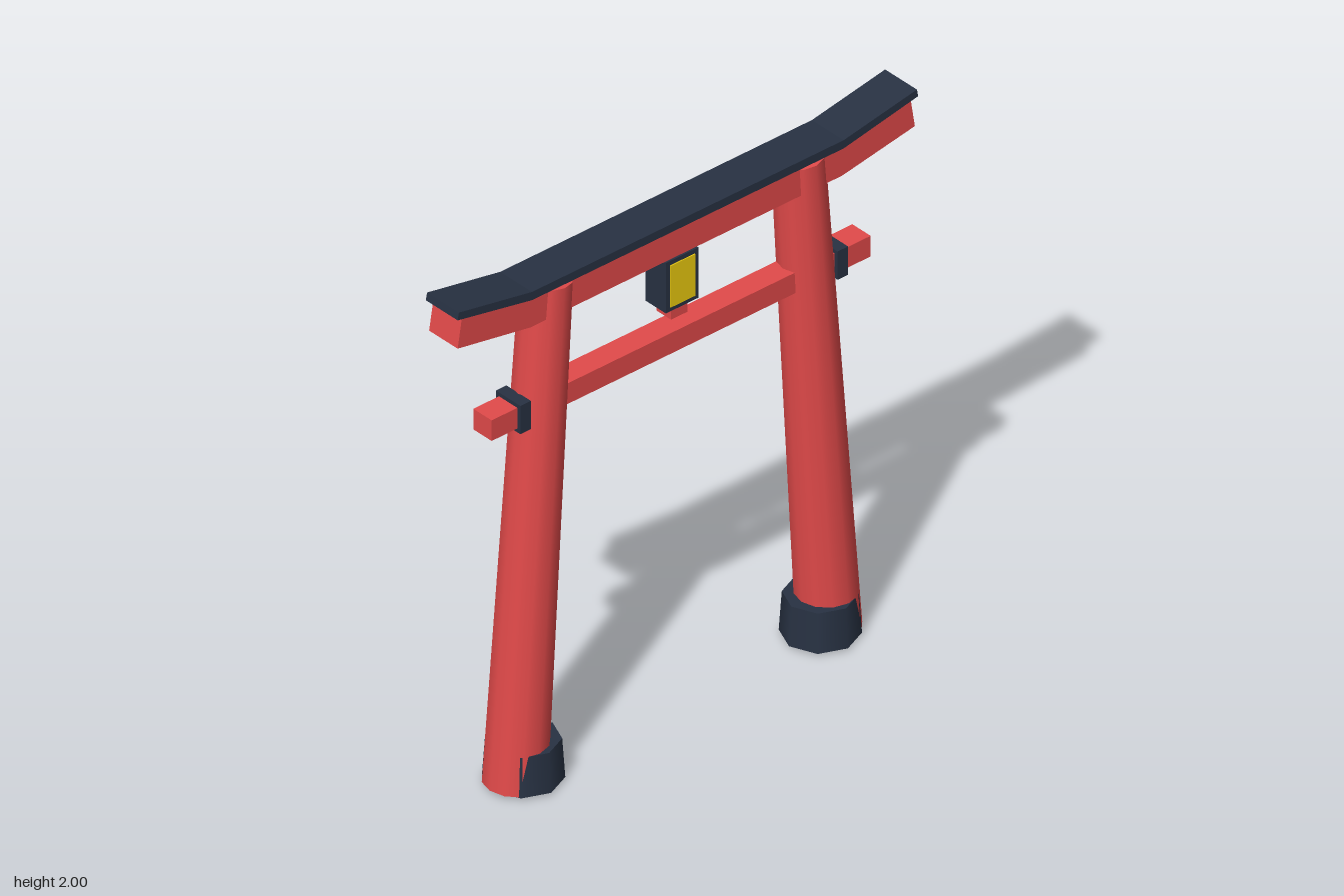
import * as THREE from 'three';

const red = new THREE.MeshStandardMaterial({ color: 0xe24a4a });
const navy = new THREE.MeshStandardMaterial({ color: 0x283243 });
const yellow = new THREE.MeshStandardMaterial({ color: 0xeccb10 });

function add(parent, name, geometry, material, x = 0, y = 0, z = 0) {
  const mesh = new THREE.Mesh(geometry, material);
  mesh.name = name;
  mesh.position.set(x, y, z);
  parent.add(mesh);
  return mesh;
}

const box = (w, h, d) => new THREE.BoxGeometry(w, h, d);

// Straight bar with upswept ends: right half of the outline, mirrored, extruded along z
function sweptBar(half, depth) {
  const mirrored = half.map(([x, y]) => [-x, y]).reverse();
  const shape = new THREE.Shape([...half, ...mirrored].map(([x, y]) => new THREE.Vector2(x, y)));
  const geometry = new THREE.ExtrudeGeometry(shape, { depth, bevelEnabled: false });
  return geometry.translate(0, 0, -depth / 2);
}

export function createModel() {
  const gate = new THREE.Group();
  gate.name = 'gate';

  // Top beam and its roof cap
  add(gate, 'topBeam', sweptBar([[0.67, 1.8], [0.983, 1.855], [0.965, 1.966], [0.67, 1.912]], 0.14), red);
  add(gate, 'roofCap', sweptBar([[0.67, 1.91], [0.99, 1.972], [0.985, 2.0], [0.67, 1.942]], 0.156), navy);

  // Tie beam running through both pillars
  add(gate, 'tieBeam', box(1.63, 0.08, 0.09), red, 0, 1.45);

  for (const [side, s] of [['left', 1], ['right', -1]]) {
    // Tapered pillar leaning inwards
    const foot = new THREE.Vector3(s * 0.675, 0.008, 0);
    const head = new THREE.Vector3(s * 0.541, 1.905, 0);
    const axis = head.clone().sub(foot);
    const pillar = add(gate, side + 'Pillar', new THREE.CylinderGeometry(0.09, 0.11, axis.length(), 12), red);
    pillar.position.copy(foot).add(head).multiplyScalar(0.5);
    pillar.rotation.z = Math.atan2(-axis.x, axis.y);

    // Upright octagonal foot sleeve and the collar on the tie beam
    add(gate, side + 'Base', new THREE.CylinderGeometry(0.125, 0.135, 0.15, 8), navy, s * 0.638, 0.085);
    add(gate, side + 'Collar', box(0.045, 0.11, 0.12), navy, s * 0.682, 1.45);
  }

  // Hanging lantern with a panel on the front and the back
  const lantern = new THREE.Group();
  lantern.name = 'lantern';
  gate.add(lantern);
  add(lantern, 'hanger', box(0.07, 0.04, 0.07), red, 0, 1.79);
  add(lantern, 'lanternBody', box(0.14, 0.196, 0.1), navy, 0, 1.678);
  add(lantern, 'lanternFoot', box(0.07, 0.05, 0.07), red, 0, 1.558);
  for (const s of [1, -1]) {
    add(lantern, s > 0 ? 'frontPanel' : 'backPanel', box(0.106, 0.162, 0.006), yellow, 0, 1.678, s * 0.051);
  }

  return gate;
}
